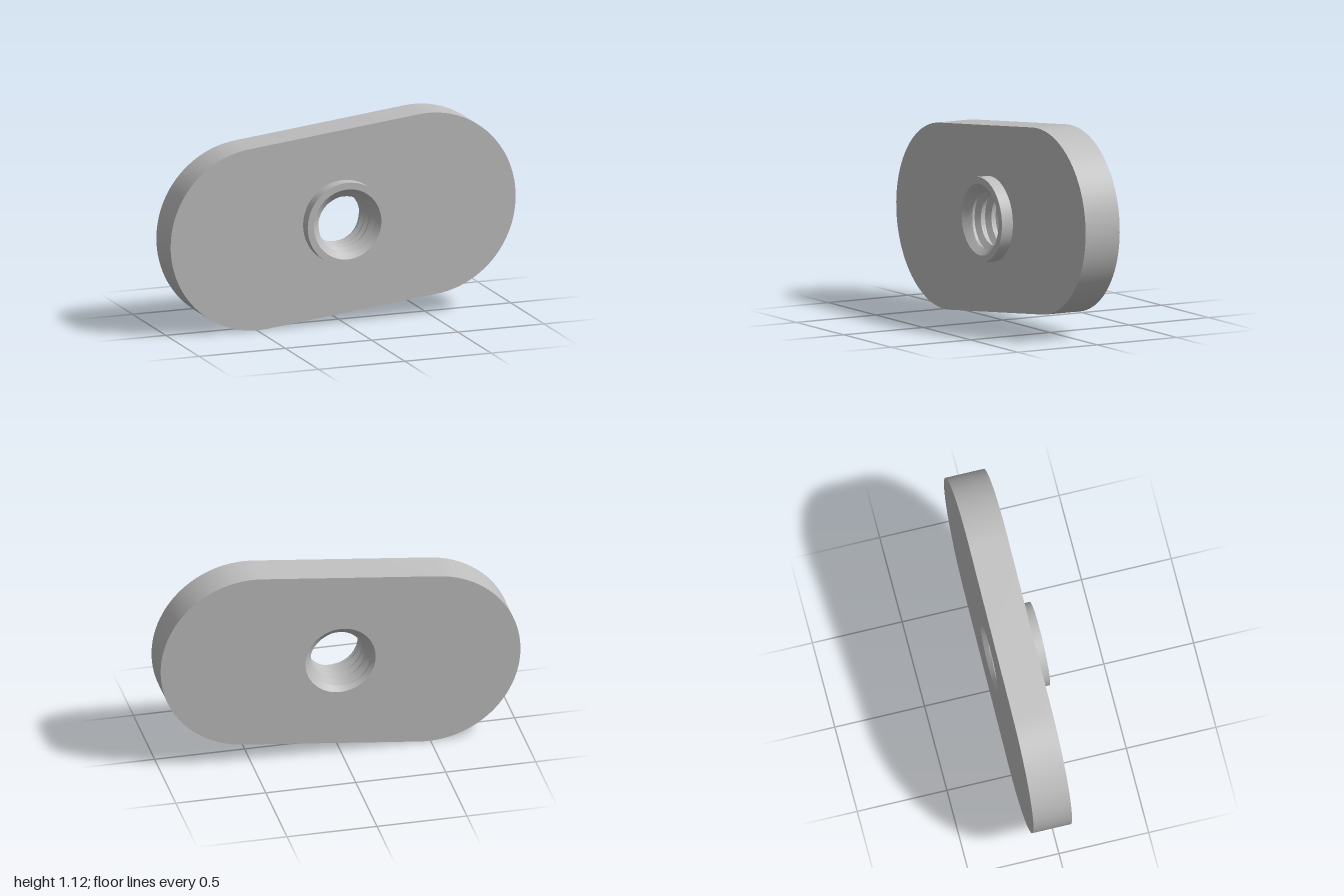
import * as THREE from 'three';
import { toCreasedNormals } from 'three/addons/utils/BufferGeometryUtils.js';

const CY = 0.5615;                         // height of the hole axis
const BACK = -0.142, FACE = 0.073, FRONT = 0.142;
const END_R = 0.508, END_X = 0.492, END_Y = 0.0535;
const BOSS_R = 0.232, RIM_R = 0.195, MINOR_R = 0.145, MAJOR_R = 0.175, PITCH = 0.066;
const SEG = 72;

// Surface through a grid of points; u runs around, v runs along the axis
function gridSurface(point, nu, nv) {
  const pos = [], index = [];
  for (let j = 0; j <= nv; j++)
    for (let i = 0; i <= nu; i++) pos.push(...point(i, j));
  for (let j = 0; j < nv; j++)
    for (let i = 0; i < nu; i++) {
      const a = j * (nu + 1) + i, c = a + nu + 1;
      index.push(a, a + 1, c, a + 1, c + 1, c);
    }
  const geo = new THREE.BufferGeometry();
  geo.setAttribute('position', new THREE.Float32BufferAttribute(pos, 3));
  geo.setIndex(index);
  return toCreasedNormals(geo, 0.5);
}

// Slanted stadium outline, counterclockwise
function outlinePoints() {
  const tilt = Math.atan2(END_Y, END_X), pts = [];
  for (const side of [1, -1])
    for (let i = 0; i <= 48; i++) {
      const a = tilt - Math.PI / 2 + (i / 48) * Math.PI;
      pts.push(new THREE.Vector2(
        side * (END_X + END_R * Math.cos(a)), side * (END_Y + END_R * Math.sin(a))));
    }
  return pts;
}

// Flat plate face with a round hole
function faceGeometry(outline, holeRadius) {
  const shape = new THREE.Shape(outline);
  const hole = [];
  for (let i = 0; i < SEG; i++) {
    const a = -(i / SEG) * Math.PI * 2;
    hole.push(new THREE.Vector2(holeRadius * Math.cos(a), holeRadius * Math.sin(a)));
  }
  shape.holes.push(new THREE.Path(hole));
  return new THREE.ShapeGeometry(shape);
}

// Helical V thread with a countersink at both ends
function threadGeometry() {
  const steps = 12;
  const rows = Math.ceil(((FRONT - BACK) / PITCH + 1) * steps);
  return gridSurface((i, j) => {
    const turn = i / SEG, a = turn * Math.PI * 2;
    const z = THREE.MathUtils.clamp(FRONT + PITCH * (turn - j / steps), BACK, FRONT);
    const phase = (((z - FRONT) / PITCH - turn) % 1 + 1) % 1;
    const vee = THREE.MathUtils.clamp(1.25 - Math.abs(phase - 0.5) * 3, 0, 1);
    const countersink = RIM_R - Math.min(FRONT - z, z - BACK);
    const r = Math.max(countersink, MINOR_R + (MAJOR_R - MINOR_R) * vee);
    return [r * Math.cos(a), r * Math.sin(a), z];
  }, SEG, rows);
}

export function createModel() {
  const model = new THREE.Group();
  model.name = 'threadedSlotNut';
  const steel = new THREE.MeshStandardMaterial({ color: 0xbfbfbf });
  steel.name = 'steel grey';

  const add = (name, geometry, z = 0) => {
    const mesh = new THREE.Mesh(geometry, steel);
    mesh.name = name;
    mesh.position.set(0, CY, z);
    model.add(mesh);
    return mesh;
  };

  // Plate
  const outline = outlinePoints();
  add('plateFront', faceGeometry(outline, BOSS_R), FACE);
  add('plateBack', faceGeometry(outline, RIM_R), BACK).rotation.y = Math.PI;
  // The outline is unchanged by a half turn, so turn the back about x and y as one
  model.getObjectByName('plateBack').geometry.scale(-1, 1, 1);
  const backIndex = model.getObjectByName('plateBack').geometry.index;
  for (let i = 0; i < backIndex.count; i += 3) {
    const b = backIndex.getX(i + 1);
    backIndex.setX(i + 1, backIndex.getX(i + 2));
    backIndex.setX(i + 2, b);
  }
  add('plateEdge', gridSurface((i, j) => {
    const p = outline[i % outline.length];
    return [p.x, p.y, j ? FACE : BACK];
  }, outline.length, 1));

  // Boss around the hole
  add('bossSide', gridSurface((i, j) => {
    const a = (i / SEG) * Math.PI * 2;
    return [BOSS_R * Math.cos(a), BOSS_R * Math.sin(a), j ? FRONT : FACE];
  }, SEG, 1));
  add('bossFace', new THREE.RingGeometry(RIM_R, BOSS_R, SEG), FRONT);

  // Threaded hole
  add('thread', threadGeometry());
  return model;
}
